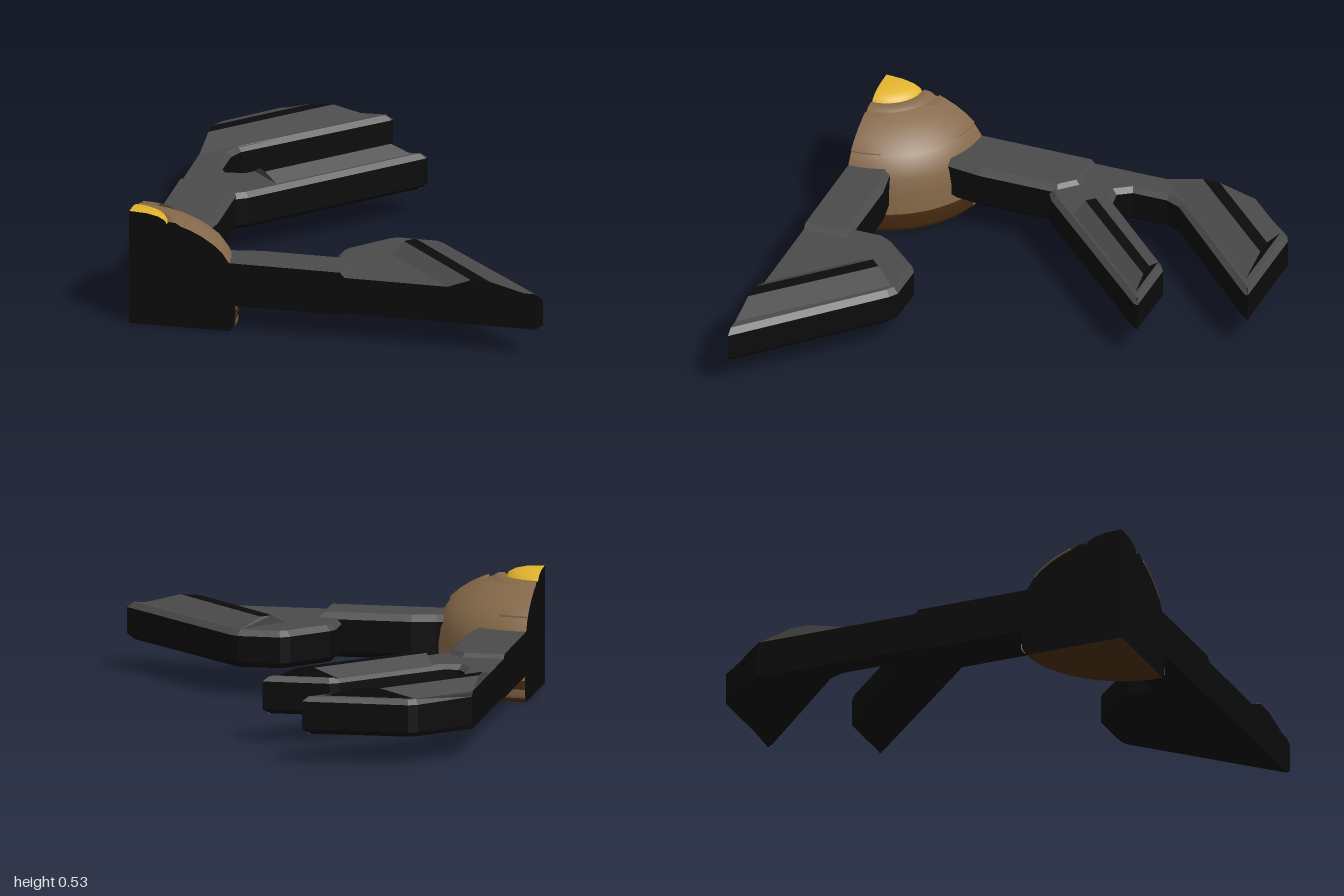
import * as THREE from 'three';

const mat = (name, color) => new THREE.MeshStandardMaterial({ name, color, side: THREE.DoubleSide });
const grey = mat('hull grey', 0x4a4a4a);
const black = mat('hull black', 0x0b0b0b);
const brown = mat('dome brown', 0x86694a);
const darkBrown = mat('rim brown', 0x4a2d12);
const yellow = mat('cap yellow', 0xe0b32c);

const CUT_X = -0.93, CUT_Z = 1; // the two flat cut planes

function addMesh(group, name, geometry, material) {
  const mesh = new THREE.Mesh(geometry, material);
  mesh.name = name;
  group.add(mesh);
  return mesh;
}

// Chamfered plate from an (x, z) outline: grey on top, black on sides and below
function plate(outline, y0, y1, bevel) {
  const shape = new THREE.Shape(outline.map(([x, z]) => new THREE.Vector2(x, -z)));
  const geo = new THREE.ExtrudeGeometry(shape, {
    depth: y1 - y0 - 2 * bevel, bevelSize: bevel, bevelThickness: bevel,
    bevelOffset: -bevel, bevelSegments: 1,
  });
  geo.rotateX(-Math.PI / 2);
  geo.translate(0, y0 + bevel, 0);
  const p = geo.attributes.position;
  for (let i = 0; i < p.count; i++) {
    p.setX(i, Math.max(p.getX(i), CUT_X));
    p.setZ(i, Math.min(p.getZ(i), CUT_Z));
  }
  geo.computeVertexNormals();
  geo.clearGroups();
  for (let i = 0; i < p.count; i += 3) {
    geo.addGroup(i, 3, geo.attributes.normal.getY(i) > 0.3 ? 0 : 1);
  }
  return geo;
}

// Ridge with two grey slopes and a black flat crest; ends are four (x, z) pairs
function ridge(start, end) {
  const heights = [0.293, 0.338, 0.338, 0.293];
  const at = (list, i) => [list[i][0], heights[i], list[i][1]];
  const pos = [];
  const geo = new THREE.BufferGeometry();
  const quad = (a, b, c, d, m) => {
    geo.addGroup(pos.length / 3, 6, m);
    pos.push(...a, ...b, ...c, ...a, ...c, ...d);
  };
  for (let i = 0; i < 3; i++) {
    quad(at(start, i), at(start, i + 1), at(end, i + 1), at(end, i), i === 1 ? 1 : 0);
  }
  quad(at(start, 3), at(start, 2), at(start, 1), at(start, 0), 0);
  quad(at(end, 0), at(end, 1), at(end, 2), at(end, 3), 1);
  geo.setAttribute('position', new THREE.Float32BufferAttribute(pos, 3));
  geo.computeVertexNormals();
  return geo;
}

// Part of a turned surface, from the +x axis (0) towards -z (PI / 2)
function turned(points, from = 0, length = Math.PI / 2) {
  return new THREE.LatheGeometry(points.map(([r, y]) => new THREE.Vector2(r, y)),
    Math.max(4, Math.round(length * 24)), Math.PI / 2 + from, length);
}

export function createModel() {
  const model = new THREE.Group();

  // Hub: quarter of a dome on a rim
  const hub = new THREE.Group();
  hub.name = 'hub';
  hub.position.set(CUT_X, 0, CUT_Z);
  model.add(hub);
  const rim = [[0, 0], [0.455, 0], [0.475, 0.03], [0.48, 0.1]];
  const dome = [[0.48, 0.1], [0.48, 0.12], [0.48, 0.2], [0.47, 0.27], [0.45, 0.32], [0.42, 0.365],
    [0.38, 0.4], [0.33, 0.432], [0.28, 0.456], [0.23, 0.474]];
  const collar = [[0.23, 0.474], [0.21, 0.487], [0.18, 0.49], [0.168, 0.478]];
  const cap = [[0.17, 0.478], [0.16, 0.495], [0.13, 0.511], [0.08, 0.522], [0, 0.526]];
  addMesh(hub, 'rim', turned(rim), darkBrown);
  addMesh(hub, 'dome', turned(dome), brown);
  addMesh(hub, 'collar', turned(collar), brown);
  addMesh(hub, 'domeCap', turned(cap), yellow);

  // Raised dome panels and rim patches beside each cut
  const panel = [[0.415, 0.368], [0.418, 0.379], [0.38, 0.412], [0.33, 0.444],
    [0.28, 0.468], [0.25, 0.479], [0.248, 0.468]];
  const patch = [[0.473, 0.02], [0.48, 0.03], [0.482, 0.06]];
  for (const end of [0, 1]) {
    const slice = (angle) => [end * (Math.PI / 2 - angle), angle];
    addMesh(hub, 'domePanel', turned(panel, ...slice(0.32)), brown);
    addMesh(hub, 'rimPatch', turned(patch, ...slice(0.27)), brown);
  }

  // Flat cut faces of the hub
  const section = new THREE.Shape(
    [...rim, ...dome.slice(1), ...collar.slice(1), ...cap].map(([r, y]) => new THREE.Vector2(r, y)));
  for (const turn of [0, Math.PI / 2]) {
    addMesh(hub, 'cutFace', new THREE.ShapeGeometry(section), black).rotation.y = turn;
  }

  // Arms
  const hull = [grey, black];
  addMesh(model, 'sideArm', plate([[-0.7, 1.03], [-0.7, 0.83], [-0.48, 0.81], [-0.37, 0.79],
    [0.05, 0.79], [0.05, 1.03]], 0.12, 0.32, 0.028), hull);
  addMesh(model, 'rearArm', plate([[-0.96, 0.75], [-0.96, 0], [-0.74, 0], [-0.66, 0.08],
    [-0.66, 0.45], [-0.7, 0.75]], 0.12, 0.315, 0.028), hull);

  // Front pod
  addMesh(model, 'frontPod', plate([[-0.06, 1.03], [-0.06, 0.66], [-0.04, 0.62], [0.11, 0.46],
    [0.15, 0.435], [0.34, 0.435], [0.38, 0.46], [0.94, 1.03]], 0.13, 0.297, 0.025), hull);
  const frontU = [-0.5, -0.385, -0.3, -0.13];
  const frontV = [0.84, 0.82, 0.82, 0.8];
  addMesh(model, 'frontPodRidge', ridge(
    frontU.map((u, i) => [(u + frontV[i]) / 2, (frontV[i] - u) / 2]),
    frontU.map((u) => [u + CUT_Z, CUT_Z])), hull);

  // Forked rear wing with two swept pods
  addMesh(model, 'rearWing', plate([[-0.96, 0.12], [-0.96, -0.75], [-0.73, -0.98], [-0.69, -1],
    [-0.215, -1], [-0.22, -0.98], [-0.77, -0.45], [-0.8, -0.38], [-0.8, -0.22], [-0.76, -0.16],
    [-0.69, -0.17], [-0.3, -0.555], [-0.26, -0.58], [0.04, -0.58], [0.035, -0.56],
    [-0.61, 0.09], [-0.66, 0.12]], 0.13, 0.297, 0.022), hull);
  const innerU = [-1.68, -1.51, -1.43, -1.24];
  addMesh(model, 'innerRearRidge', ridge(
    innerU.map((u) => [CUT_X, u - CUT_X]),
    innerU.map((u) => [u + 0.955, -0.955])), hull);
  const outerU = [-0.84, -0.73, -0.66, -0.56];
  const outerV = [-0.46, -0.49, -0.49, -0.46];
  addMesh(model, 'outerRearRidge', ridge(
    outerU.map((u, i) => [(u + outerV[i]) / 2, (u - outerV[i]) / 2]),
    outerU.map((u) => [u + 0.545, -0.545])), hull);

  return model;
}
